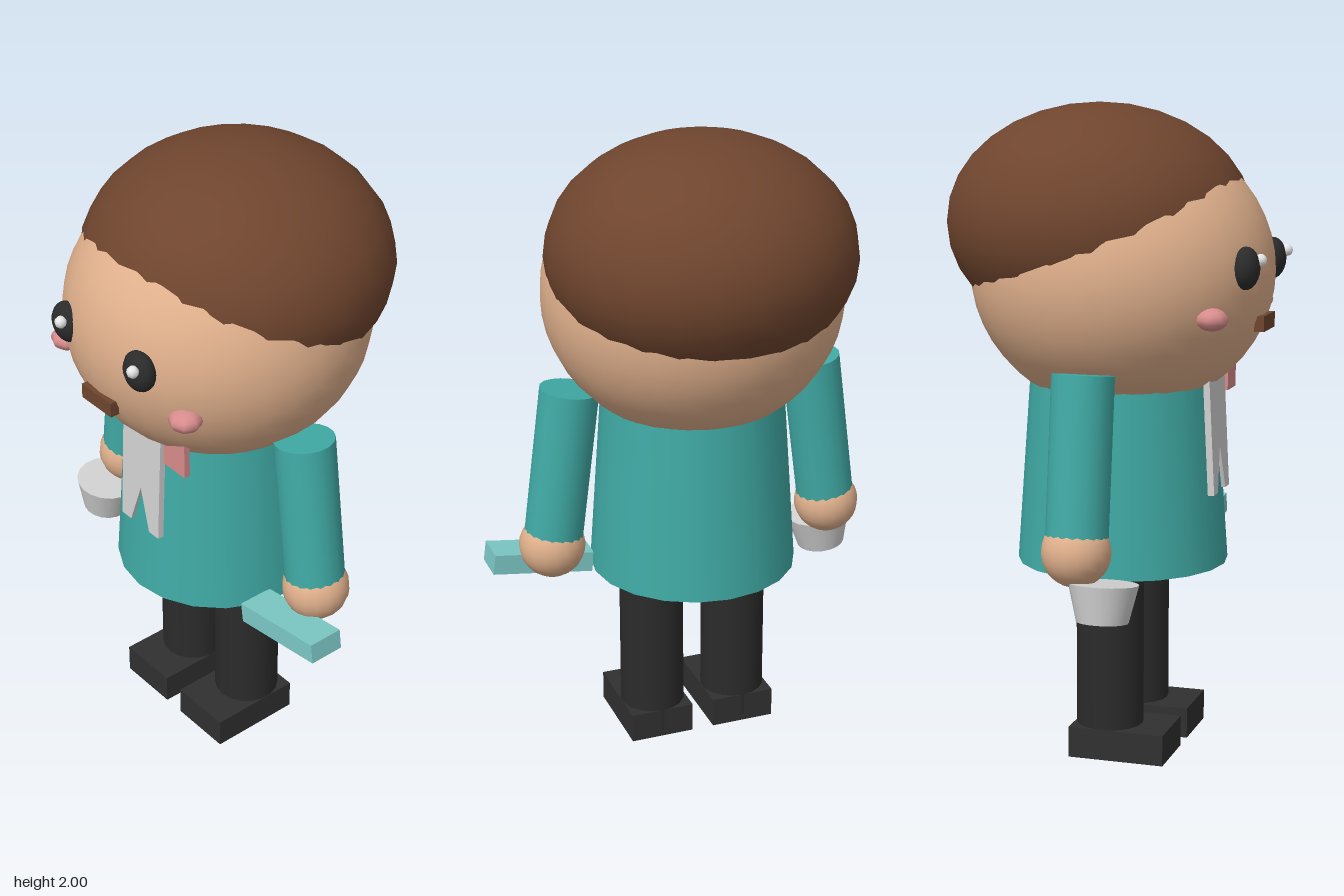
import * as THREE from 'three';

const mat = (name, color, side = THREE.FrontSide) => {
  const m = new THREE.MeshStandardMaterial({ color, side });
  m.name = name;
  return m;
};

export function createModel() {
  const root = new THREE.Group();
  root.name = 'standingFigure';
  const skin = mat('skin', 0xe0b08c);
  const hairBrown = mat('hair brown', 0x6f452e);
  const teal = mat('jacket teal', 0x40aaa5);
  const paleTeal = mat('pale teal', 0x7cc9c6);
  const black = mat('trouser black', 0x2b2b2b);
  const shoeBlack = mat('shoe black', 0x303030);
  const white = mat('shirt white', 0xd2d2d2);
  const pink = mat('pink', 0xd98c8c);
  const glint = mat('eye glint', 0xf0f0f0);

  // the body's own axis
  const CX = -0.035, CZ = 0.03;

  const add = (name, geometry, material, x, y, z, rz = 0, rx = 0) => {
    const mesh = new THREE.Mesh(geometry, material);
    mesh.name = name;
    mesh.position.set(x, y, z);
    mesh.rotation.set(rx, 0, rz);
    root.add(mesh);
    return mesh;
  };
  const ball = (rx, ry, rz, w = 24, h = 16) =>
    new THREE.SphereGeometry(1, w, h).scale(rx, ry, rz);
  const box = (w, h, d) => new THREE.BoxGeometry(w, h, d);

  // head and hair cap, overlapping along the tilted hairline
  add('head', ball(0.467, 0.437, 0.467, 32, 24), skin, CX, 1.495, CZ);
  add('hair', ball(0.475, 0.36, 0.47), hairBrown, CX, 1.64, -0.045);
  add('mouth', box(0.14, 0.047, 0.03), hairBrown, CX, 1.349, 0.476);

  // jacket body
  add('jacket', new THREE.CylinderGeometry(0.287, 0.328, 0.58, 20), teal, CX, 0.88, CZ);

  // shirt front with a notched hem, leaning along the jacket
  const shirt = new THREE.Shape([
    [-0.091, 0.22], [-0.091, -0.21], [-0.045, -0.21], [0, -0.07],
    [0.045, -0.21], [0.091, -0.21], [0.091, 0.22],
  ].map(([x, y]) => new THREE.Vector2(x, y)));
  add('shirtFront', new THREE.ExtrudeGeometry(shirt, { depth: 0.02, bevelEnabled: false }),
    white, CX, 1.03, 0.317, 0, -0.05);
  add('pocketSquare', box(0.1, 0.14, 0.02), pink, 0.127, 1.184, 0.325);

  for (const s of [-1, 1]) {
    const side = s > 0 ? 'left' : 'right';
    const X = (d) => CX + s * d;

    // face details
    add(side + 'Eye', ball(0.058, 0.064, 0.042, 16, 12), black, X(0.172), 1.525, 0.458);
    add(side + 'EyeGlint', ball(0.019, 0.019, 0.019, 8, 6), glint,
      X(0.172) + 0.021, 1.548, 0.498);
    add(side + 'Cheek', ball(0.052, 0.034, 0.05, 8, 8), pink, X(0.285), 1.385, 0.386);

    // sleeve and hand
    add(side + 'Sleeve', new THREE.CylinderGeometry(0.093, 0.093, 0.5, 18), teal,
      X(0.432), 0.976, CZ + 0.002, s * 0.13);
    add(side + 'Hand', ball(0.104, 0.104, 0.104, 18, 14), skin, X(0.468), 0.711, CZ + 0.002);

    // leg and shoe
    add(side + 'Leg', new THREE.CylinderGeometry(0.104, 0.104, 0.6, 18), black,
      X(0.14), 0.32, CZ + 0.002);
    add(side + 'Shoe', box(0.208, 0.096, 0.302), shoeBlack, X(0.14), 0.048, 0.08);
  }

  // carried objects
  add('cup', new THREE.CylinderGeometry(0.104, 0.077, 0.113, 18), white,
    -0.522, 0.57, 0.12, -0.13);
  add('slab', box(0.328, 0.065, 0.115), paleTeal, 0.445, 0.618, 0.143, 0.137);

  return root;
}
